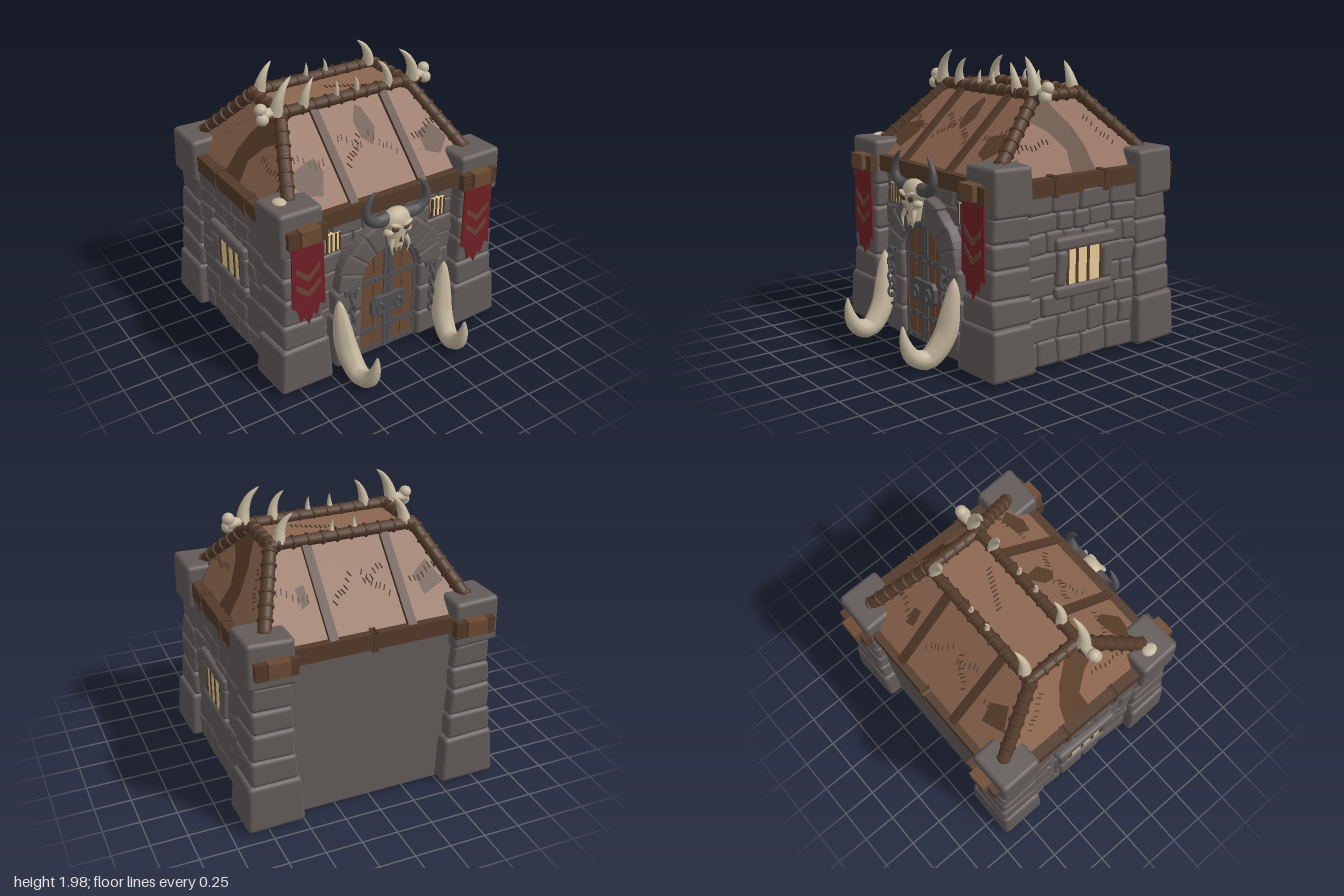
import * as THREE from 'three';
import { RoundedBoxGeometry } from 'three/addons/geometries/RoundedBoxGeometry.js';

const mat = (name, color, side = THREE.FrontSide) => {
  const m = new THREE.MeshStandardMaterial({ color, side });
  m.name = name;
  return m;
};
const V = (x, y, z) => new THREE.Vector3(x, y, z);

export function createModel() {
  const root = new THREE.Group();
  root.name = 'stoneHut';
  const stone = mat('stone', 0x625b5a), iron = mat('iron', 0x504e50), wood = mat('darkWood', 0x533a29);
  const plank = mat('doorWood', 0x6b4a33), bone = mat('bone', 0xc2b59c), red = mat('redCloth', 0x702024);
  const mark = mat('bannerMark', 0x6a4438), glow = mat('windowLight', 0xe6cb98);
  const hide = mat('hide', 0x8c6650, THREE.DoubleSide), patchMat = mat('hidePatch', 0x5b3f2a, THREE.DoubleSide);

  let seed = 7;
  const rnd = () => (seed = (seed * 16807) % 2147483647) / 2147483647;
  const add = (name, geo, material, x = 0, y = 0, z = 0) => {
    const m = new THREE.Mesh(geo, material);
    m.name = name;
    m.position.set(x, y, z);
    root.add(m);
    return m;
  };
  // plain box given by its extents
  const span = (name, material, x0, x1, y0, y1, z0, z1) => add(name,
    new THREE.BoxGeometry(Math.abs(x1 - x0), y1 - y0, Math.abs(z1 - z0)), material, (x0 + x1) / 2, (y0 + y1) / 2, (z0 + z1) / 2);
  // rounded, slightly uneven stone given by its extents; flare widens the foot
  const block = (name, x0, x1, y0, y1, z0, z1, flare = 0) => {
    const w = Math.abs(x1 - x0), h = y1 - y0, d = Math.abs(z1 - z0);
    const geo = new RoundedBoxGeometry(w, h, d, 2, Math.min(0.03, 0.3 * Math.min(w, h, d)));
    const p = geo.attributes.position, cx = (x0 + x1) / 2, cy = (y0 + y1) / 2, cz = (z0 + z1) / 2;
    for (let i = 0; i < p.count; i++) {
      const x = p.getX(i), y = p.getY(i), z = p.getZ(i), s = 1 - flare * y / h;
      p.setXYZ(i, x * s + 0.005 * Math.sin(19 * (y + cy) + 11 * (z + cz)), y + 0.004 * Math.sin(15 * (x + cx) + 13 * (z + cz)),
        z * s + 0.005 * Math.sin(17 * (y + cy) + 12 * (x + cx)));
    }
    return add(name, geo, stone, cx, cy, cz);
  };
  // tube whose radius follows a rule along its path
  const horn = (name, material, pts, radius, n = 18) => {
    const curve = new THREE.CatmullRomCurve3(pts), geo = new THREE.TubeGeometry(curve, n, 1, 10);
    const p = geo.attributes.position, v = V();
    for (let i = 0; i < p.count; i++) {
      const t = Math.floor(i / 11) / n, c = curve.getPointAt(t);
      v.fromBufferAttribute(p, i).sub(c).multiplyScalar(radius(t)).add(c);
      p.setXYZ(i, v.x, v.y, v.z);
    }
    geo.computeVertexNormals();
    return add(name, geo, material);
  };
  // round pole with rope rings
  const pole = (name, a, b, r, rings) => {
    const dir = b.clone().sub(a), q = new THREE.Quaternion().setFromUnitVectors(V(0, 1, 0), dir.clone().normalize());
    const mid = a.clone().lerp(b, 0.5);
    add(name, new THREE.CylinderGeometry(r, r * 1.08, dir.length(), 12), wood, mid.x, mid.y, mid.z).quaternion.copy(q);
    for (let i = 0; i < rings; i++) {
      const c = a.clone().lerp(b, (i + 0.5) / rings);
      add(name + 'Binding', new THREE.TorusGeometry(r, 0.012, 6, 14).rotateX(Math.PI / 2), wood, c.x, c.y, c.z).quaternion.copy(q);
    }
  };
  const outline = pts => new THREE.Shape(pts.map(([x, y]) => new THREE.Vector2(x, y)));
  const plate = (name, material, pts, depth, x, y, z, bevel = 0) => add(name, new THREE.ExtrudeGeometry(outline(pts), {
    depth, bevelEnabled: bevel > 0, bevelSize: bevel, bevelThickness: bevel, bevelOffset: -bevel, bevelSegments: 2 }), material, x, y, z);

  // wall core
  span('wallCore', stone, -0.79, 0.79, 0.03, 1.22, -0.82, 0.5);

  // corner towers: y0, y1, inner x, outer x, outer z from the middle, flare
  const ZC = -0.135;
  const courses = [[0.03, 0.37, 0.51, 0.895, 0.785, 0.09], [0.365, 0.55, 0.54, 0.865, 0.768, 0.02], [0.545, 0.74, 0.55, 0.853, 0.76, 0.02],
    [0.735, 0.9, 0.555, 0.843, 0.748, 0.02], [0.895, 1.07, 0.56, 0.833, 0.738, 0.02], [1.06, 1.38, 0.545, 0.867, 0.755, 0.03]];
  for (const s of [-1, 1]) for (const f of [-1, 1]) {
    for (const [y0, y1, xi, xo, zo, fl] of courses) block('towerStone', s * xi, s * xo, y0, y1, ZC + f * 0.445, ZC + f * zo, fl);
    // beam ends and cross bars poking out of the towers
    const z = ZC + f * 0.74;
    span('crossBar', wood, s * 0.54, s * 0.82, 1.15, 1.265, z, z + f * 0.055);
    span('beamEnd', plank, s * 0.605, s * 0.745, 1.17, 1.275, z, z + f * 0.088);
  }
  add('boneScrap', new THREE.SphereGeometry(0.05, 12, 8).scale(0.9, 0.4, 1.1), bone, -0.76, 1.38, 0.45);

  // irregular stone courses on the side and front walls
  const rows = [0.03, 0.2, 0.36, 0.5, 0.64, 0.78, 0.92, 1.04, 1.18];
  const lay = (a, b, put) => rows.slice(1).forEach((y1, i) => {
    for (let x = a; x < b - 0.01;) {
      let e = x + 0.12 + 0.14 * rnd();
      if (e > b - 0.09) e = b;
      put(x, e, rows[i] - 0.004, y1 + 0.004, 0.012 * rnd());
      x = e;
    }
  });
  for (const s of [-1, 1]) lay(-0.6, 0.33, (a, b, y0, y1, o) => block('sideWallStone', s * 0.74, s * (0.822 + o), y0, y1, a, b));
  lay(-0.56, 0.56, (a, b, y0, y1, o) => block('frontWallStone', a, b, y0, y1, 0.45, 0.52 + o));

  for (const s of [-1, 1]) {
    // side window
    span('sideWindowLight', glow, s * 0.8, s * 0.842, 0.55, 0.79, -0.29, 0.03);
    for (const z of [0.015, -0.065, -0.16, -0.27]) span('sideWindowBar', wood, s * 0.83, s * 0.848, 0.55, 0.79, z - 0.01, z + 0.01);
    block('sideLintel', s * 0.76, s * 0.865, 0.785, 0.875, -0.39, 0.12);
    block('sideSill', s * 0.76, s * 0.865, 0.465, 0.555, -0.37, 0.12);
    block('sideWindowJamb', s * 0.76, s * 0.86, 0.55, 0.79, 0.018, 0.11);
    block('sideWindowJamb', s * 0.76, s * 0.86, 0.55, 0.79, -0.37, -0.28);
    // small front window
    span('frontWindowLight', glow, s * 0.37, s * 0.475, 0.95, 1.085, 0.5, 0.54);
    for (const x of [0.375, 0.405, 0.44, 0.47]) span('frontWindowBar', wood, s * x - 0.006, s * x + 0.006, 0.95, 1.085, 0.53, 0.546);
    // door jambs
    [[0.03, 0.24], [0.235, 0.45], [0.445, 0.65]].forEach(([a, b], i) => block('doorJamb', s * 0.235, s * (0.45 + 0.02 * (i % 2)), a, b, 0.48, 0.605));
    // hanging chain
    span('chainBracket', iron, s * 0.28, s * 0.38, 0.615, 0.655, 0.59, 0.622);
    for (let i = 0; i < 7; i++) {
      const link = add('chainLink', new THREE.TorusGeometry(0.026, 0.009, 6, 14).scale(1, 1.4, 1), iron, s * 0.33, 0.61 - i * 0.055, 0.628);
      link.rotation.y = i % 2 ? 1.2 : 0.2;
    }
    // ground tusk
    horn('groundTusk', bone, [V(s * 0.435, 0.61, 0.62), V(s * 0.42, 0.4, 0.635), V(s * 0.4, 0.22, 0.675), V(s * 0.38, 0.085, 0.79),
      V(s * 0.37, 0.12, 0.9), V(s * 0.365, 0.23, 0.955), V(s * 0.36, 0.34, 0.968)],
    t => 0.004 + 0.073 * Math.pow(Math.sin(Math.PI * Math.pow(t, 0.85)), 0.75), 28);
    // banner with chevrons
    plate('banner', red, [[-0.115, 1.16], [0.115, 1.16], [0.125, 0.66], [0.085, 0.68], [0.06, 0.59], [0.035, 0.62], [0, 0.54],
      [-0.03, 0.61], [-0.06, 0.58], [-0.08, 0.67], [-0.12, 0.7]], 0.012, s * 0.68, 0, 0.636);
    for (const y of [0.8, 0.92]) plate('bannerChevron', mark, [[-0.09, y + 0.08], [0, y], [0.09, y + 0.08], [0.09, y + 0.035],
      [0, y - 0.045], [-0.09, y + 0.035]], 0.003, s * 0.68, 0, 0.648);
  }

  // arch stones
  const CY = 0.64;
  for (let i = 0; i < 9; i++) {
    const a0 = Math.PI * i / 9, a1 = Math.PI * (i + 1) / 9, pts = [], R = 0.425 + 0.015 * (i % 2);
    for (let k = 0; k <= 3; k++) { const a = a0 + (a1 - a0) * k / 3; pts.push([R * Math.cos(a), R * Math.sin(a)]); }
    for (let k = 3; k >= 0; k--) { const a = a0 + (a1 - a0) * k / 3; pts.push([0.24 * Math.cos(a), 0.24 * Math.sin(a)]); }
    plate('archStone', stone, pts, 0.09, 0, CY, 0.5, 0.016);
  }

  // door planks under the arch
  const top = x => CY + Math.sqrt(Math.max(0, 0.236 ** 2 - x * x));
  for (let i = 0; i < 4; i++) {
    const a = -0.235 + i * 0.1175 + 0.003, b = a + 0.1115, pts = [[a, 0.03], [b, 0.03]];
    for (let k = 0; k <= 6; k++) { const x = b + (a - b) * k / 6; pts.push([x, top(x)]); }
    plate('doorPlank', plank, pts, 0.04, 0, 0, 0.515);
  }
  // door ironwork
  add('doorArchTrim', new THREE.TorusGeometry(0.228, 0.014, 6, 24, Math.PI), iron, 0, CY, 0.556);
  span('doorCentreStrip', iron, -0.036, -0.003, 0.03, 0.865, 0.54, 0.566);
  span('doorCentreStrip', iron, 0.003, 0.036, 0.03, 0.865, 0.54, 0.566);
  for (const y of [0.05, 0.215, 0.62]) {
    span('doorStrap', iron, -0.235, 0.235, y - 0.02, y + 0.02, 0.54, 0.563);
    for (const x of [-0.19, -0.1, -0.02, 0.02, 0.1, 0.19]) add('rivet', new THREE.SphereGeometry(0.009, 8, 6), iron, x, y, 0.566);
  }
  plate('lockPlate', iron, [[-0.11, -0.08], [0.11, -0.08], [0.145, -0.045], [0.145, 0.045], [0.11, 0.08], [-0.11, 0.08],
    [-0.145, 0.045], [-0.145, -0.045]], 0.03, 0, 0.4, 0.55, 0.006);
  for (const s of [-1, 1]) {
    span('doorEdgeStrip', iron, s * 0.215, s * 0.24, 0.03, 0.64, 0.54, 0.562);
    add('doorHandle', new THREE.TorusGeometry(0.028, 0.009, 6, 16).scale(1, 1.3, 1), iron, s * 0.075, 0.385, 0.59);
    add('handleKnob', new THREE.SphereGeometry(0.016, 10, 8), iron, s * 0.075, 0.425, 0.59);
  }

  // horned skull above the door
  add('skullCranium', new THREE.SphereGeometry(1, 20, 14).scale(0.105, 0.085, 0.07), bone, 0, 1.11, 0.635);
  add('skullSnout', new THREE.CylinderGeometry(0.085, 0.052, 0.17, 14).scale(1, 1, 0.75), bone, 0, 1.0, 0.64);
  add('skullNose', new THREE.ConeGeometry(0.018, 0.045, 3).scale(1, 1, 0.4), wood, 0, 0.985, 0.697);
  for (const s of [-1, 1]) {
    add('cheekbone', new THREE.SphereGeometry(0.035, 12, 8).scale(1, 0.8, 1), bone, s * 0.072, 1.035, 0.655);
    add('eyeSocket', new THREE.SphereGeometry(0.03, 12, 8).scale(1, 0.7, 0.5), wood, s * 0.045, 1.07, 0.695).rotation.z = s * 0.35;
    add('browRidge', new THREE.SphereGeometry(0.04, 12, 8).scale(1.1, 0.4, 0.6), bone, s * 0.045, 1.1, 0.695).rotation.z = s * 0.35;
    horn('skullFang', bone, [V(s * 0.05, 0.99, 0.67), V(s * 0.07, 0.93, 0.69), V(s * 0.055, 0.87, 0.69)], t => 0.018 * (1 - t) + 0.002, 8);
    add('skullTooth', new THREE.ConeGeometry(0.012, 0.05, 6).rotateX(Math.PI), bone, s * 0.018, 0.9, 0.675);
    horn('skullHorn', iron, [V(s * 0.07, 1.13, 0.63), V(s * 0.17, 1.135, 0.635), V(s * 0.235, 1.2, 0.64), V(s * 0.225, 1.29, 0.64),
      V(s * 0.17, 1.365, 0.64)], t => 0.045 * Math.pow(1 - t, 0.6) + 0.002);
  }

  // eave beams with lashings
  span('frontBeam', wood, -0.56, 0.56, 1.165, 1.275, 0.49, 0.585);
  span('backBeam', wood, -0.56, 0.56, 1.165, 1.275, -0.86, -0.77);
  for (const s of [-1, 1]) {
    span('sideBeam', wood, s * 0.74, s * 0.832, 1.155, 1.27, -0.6, 0.33);
    for (const z of [0.11, -0.31]) for (const r of [-0.2, 0.2])
      add('beamLashing', new THREE.BoxGeometry(0.11, 0.14, 0.016), wood, s * 0.786, 1.212, z).rotation.x = r;
  }
  for (const r of [-0.2, 0.2]) add('beamLashing', new THREE.BoxGeometry(0.016, 0.14, 0.11), wood, 0, 1.22, -0.815).rotation.z = r;

  // hide roof: each slope maps (along, height) to a point
  const Y0 = 1.24, Y1 = 1.735, k = y => (y - Y0) / (Y1 - Y0);
  const slopes = {
    front: (a, y, o = 0) => V(a, y + o, 0.56 - 0.52 * k(y) + o),
    back: (a, y, o = 0) => V(a, y + o, -0.84 + 0.48 * k(y) - o),
    left: (a, y, o = 0) => V(0.775 - 0.295 * k(y) + o, y + o * 0.6, a),
    right: (a, y, o = 0) => V(-0.775 + 0.295 * k(y) - o, y + o * 0.6, a),
  };
  const cloth = (name, material, side, pts, off) => {
    const geo = new THREE.ShapeGeometry(outline(pts)), p = geo.attributes.position;
    for (let i = 0; i < p.count; i++) { const v = slopes[side](p.getX(i), p.getY(i), off); p.setXYZ(i, v.x, v.y, v.z); }
    if (side === 'back' || side === 'left') geo.setIndex([...geo.index.array].reverse());
    geo.computeVertexNormals();
    add(name, geo, material);
  };
  // short stitches across a seam line
  const seam = (side, a, b, n) => {
    for (let i = 0; i < n; i++) {
      const t = (i + 0.5) / n, x = a[0] + (b[0] - a[0]) * t, y = a[1] + (b[1] - a[1]) * t + 0.012 * Math.sin(i * 1.3);
      const l = Math.hypot(b[0] - a[0], b[1] - a[1]), dx = -(b[1] - a[1]) / l * 0.016, dy = (b[0] - a[0]) / l * 0.016;
      const p = slopes[side](x - dx, y - dy, 0.005), q = slopes[side](x + dx, y + dy, 0.005), c = p.clone().lerp(q, 0.5);
      add('stitch', new THREE.BoxGeometry(0.006, 0.006, p.distanceTo(q)), wood, c.x, c.y, c.z).lookAt(q);
    }
  };
  const alongX = [[-0.775, Y0], [0.775, Y0], [0.48, Y1], [-0.48, Y1]], alongZ = [[-0.84, Y0], [0.56, Y0], [0.04, Y1], [-0.36, Y1]];
  for (const side of ['front', 'back']) {
    cloth('roofHide', hide, side, alongX, 0);
    for (const x of [-0.27, 0.27]) {
      const a = slopes[side](x, 1.25, 0.005), b = slopes[side](x, 1.74, 0.005), c = a.clone().lerp(b, 0.5);
      add('rafter', new THREE.BoxGeometry(0.06, 0.035, a.distanceTo(b)), wood, c.x, c.y, c.z).lookAt(b);
    }
    for (const s of [-1, 1]) { seam(side, [s * 0.56, 1.53], [s * 0.34, 1.46], 7); seam(side, [s * 0.2, 1.42], [s * 0.03, 1.55], 7); }
    seam(side, [-0.2, 1.57], [-0.03, 1.5], 6);
  }
  cloth('roofPatch', patchMat, 'front', [[-0.6, 1.36], [-0.45, 1.33], [-0.38, 1.44], [-0.41, 1.51], [-0.52, 1.49], [-0.62, 1.46]], 0.004);
  cloth('roofPatch', patchMat, 'front', [[0.04, 1.49], [0.11, 1.57], [0.07, 1.68], [0.03, 1.7], [-0.03, 1.62], [-0.02, 1.54]], 0.004);
  cloth('roofPatch', patchMat, 'front', [[0.4, 1.39], [0.5, 1.36], [0.6, 1.43], [0.53, 1.52], [0.4, 1.49]], 0.004);
  cloth('roofPatch', patchMat, 'back', [[-0.58, 1.44], [-0.42, 1.39], [-0.39, 1.5], [-0.5, 1.56]], 0.004);
  cloth('roofPatch', patchMat, 'back', [[0.35, 1.45], [0.41, 1.43], [0.42, 1.53], [0.36, 1.54]], 0.004);
  for (const side of ['left', 'right']) {
    cloth('roofHide', hide, side, alongZ, 0);
    cloth('roofPatch', patchMat, side, [[-0.28, 1.27], [-0.08, 1.27], [-0.1, 1.4], [0.0, 1.52], [0.14, 1.6], [0.06, 1.7], [-0.08, 1.7], [-0.2, 1.55], [-0.26, 1.42]], 0.004);
    cloth('roofPatch', patchMat, side, [[0.3, 1.27], [0.5, 1.27], [0.42, 1.36], [0.31, 1.39]], 0.004);
    seam(side, [0.3, 1.43], [0.02, 1.46], 8);
    seam(side, [-0.32, 1.6], [-0.52, 1.4], 8);
  }
  add('roofTopHide', new THREE.PlaneGeometry(0.98, 0.42).rotateX(-Math.PI / 2), hide, 0, 1.735, -0.16);
  for (let i = 0; i < 10; i++) add('stitch', new THREE.BoxGeometry(0.008, 0.006, 0.04), wood, -0.01 + i * 0.028, 1.738, -0.2 + i * 0.014);

  // roof poles
  pole('frontRidgePole', V(-0.6, 1.755, 0.035), V(0.6, 1.755, 0.035), 0.037, 12);
  pole('backRidgePole', V(-0.5, 1.755, -0.36), V(0.5, 1.755, -0.36), 0.037, 10);
  for (const s of [-1, 1]) {
    pole('sideRidgePole', V(s * 0.49, 1.745, 0.06), V(s * 0.49, 1.745, -0.38), 0.038, 5);
    pole('frontHipPole', V(s * 0.705, 1.33, 0.47), V(s * 0.495, 1.75, 0.02), 0.042, 7);
    pole('backHipPole', V(s * 0.705, 1.33, -0.77), V(s * 0.495, 1.75, -0.345), 0.042, 7);
    // knobbed bone ends
    add('boneShaft', new THREE.CylinderGeometry(0.04, 0.032, 0.14, 12).rotateZ(-s * Math.PI / 2), bone, s * 0.575, 1.775, 0.035);
    for (const [y, z] of [[1.81, 0.03], [1.75, 0.05]]) add('boneKnob', new THREE.SphereGeometry(0.042, 14, 10), bone, s * 0.64, y, z);
    // ridge spikes: base x, z, tip x, tip y, radius
    for (const [x, z, tx, ty, r] of [[0.54, 0.04, 0.42, 2, 0.048], [0.335, 0.035, 0.255, 1.95, 0.04], [0.08, 0.035, 0.075, 1.88, 0.022],
      [0.44, -0.355, 0.345, 1.95, 0.045], [0.08, -0.36, 0.07, 1.87, 0.022]]) {
      const h = ty - 1.76;
      horn('ridgeSpike', bone, [V(s * x, 1.76, z), V(s * (x - (x - tx) * 0.15), 1.76 + h * 0.4, z + 0.012),
        V(s * (x - (x - tx) * 0.5), 1.76 + h * 0.75, z + 0.012), V(s * tx, ty, z)], t => r * Math.pow(1 - t, 0.75) + 0.001, 12);
    }
  }
  return root;
}
